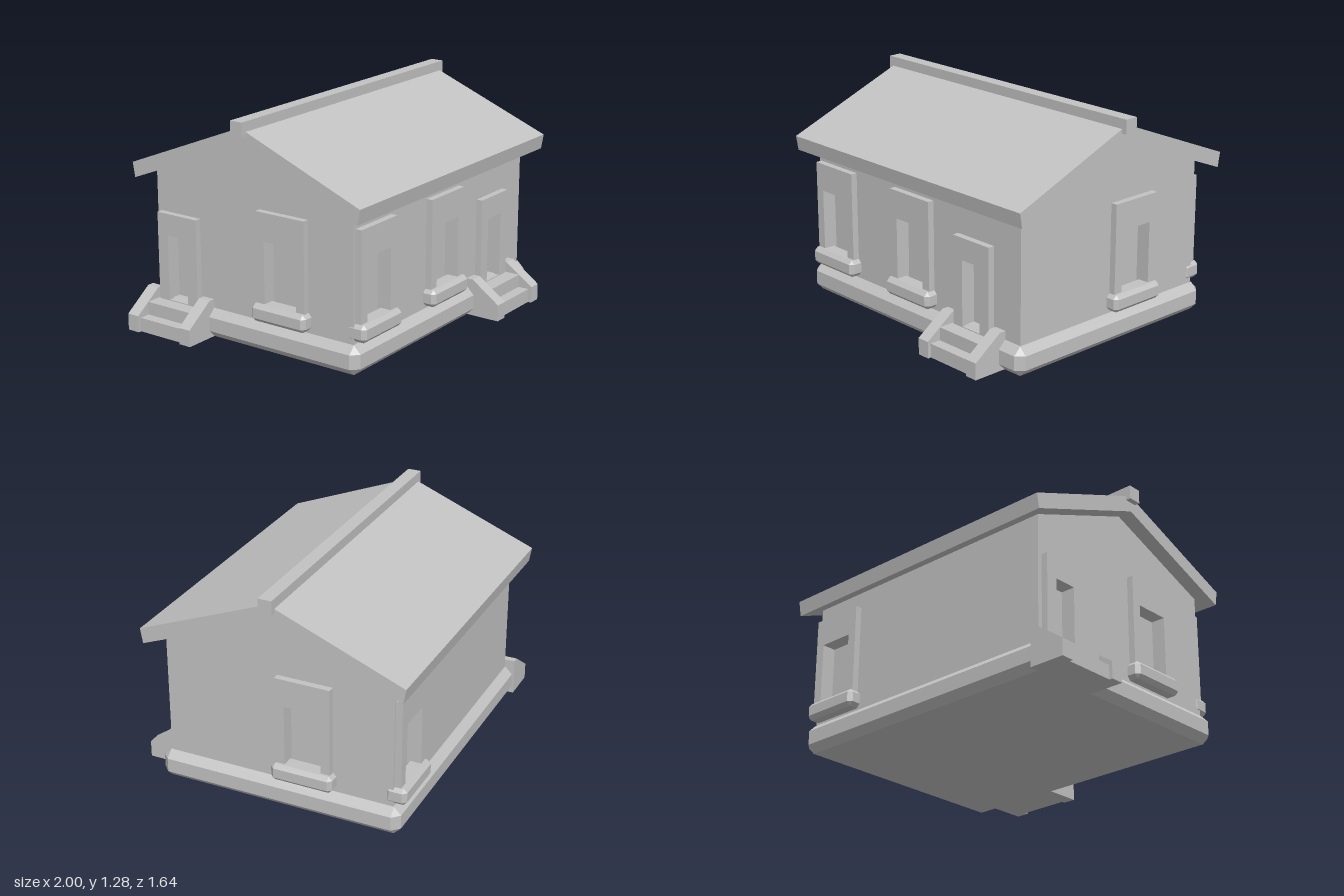
import * as THREE from 'three';
import { ConvexGeometry } from 'three/addons/geometries/ConvexGeometry.js';

const CX = 0.0425, CZ = -0.055;   // plan centre of the house
const HX = 0.8325, HZ = 0.665;    // half sizes of the walls
const T = 0.045;                  // wall thickness

const stone = new THREE.MeshStandardMaterial({ color: 0xc2c2c2 });
stone.name = 'plain grey';

function add(parent, name, geometry, x = 0, y = 0, z = 0) {
  const mesh = new THREE.Mesh(geometry, stone);
  mesh.name = name;
  mesh.position.set(x, y, z);
  parent.add(mesh);
  return mesh;
}

const polygon = (points) => new THREE.Shape(points.map(([x, y]) => new THREE.Vector2(x, y)));

const extrude = (shape, depth) => new THREE.ExtrudeGeometry(shape, { depth, bevelEnabled: false });

// Rectangular outline, also used for holes
const rect = (x0, x1, y0, y1) => polygon([[x0, y0], [x1, y0], [x1, y1], [x0, y1]]);

// Box with every edge cut at 45 degrees
function chamferBox(w, h, d, c) {
  const points = [];
  for (const sx of [-1, 1]) for (const sy of [-1, 1]) for (const sz of [-1, 1]) {
    for (const axis of [0, 1, 2]) {
      const half = [w / 2, h / 2, d / 2].map((v, i) => (i === axis ? v : v - c));
      points.push(new THREE.Vector3(sx * half[0], sy * half[1], sz * half[2]));
    }
  }
  return new ConvexGeometry(points);
}

// Opening sizes: half width and height range, for the hole and its surround
const KINDS = {
  window: { hw: 0.105, y0: 0.25, y1: 0.63, frame: 0.16, f0: 0.22, f1: 0.79 },
  door: { hw: 0.068, y0: 0.16, y1: 0.535, frame: 0.138, f0: 0.12, f1: 0.66 },
};

const hole = (kind, u) => rect(u - kind.hw, u + kind.hw, kind.y0, kind.y1);

// Raised surround with its sill or steps; wall face at z = 0
function opening(type, u) {
  const kind = KINDS[type];
  const group = new THREE.Group();
  group.name = type;
  group.position.x = u;
  const outline = rect(-kind.frame, kind.frame, kind.f0, kind.f1);
  outline.holes.push(hole(kind, 0));
  add(group, type + 'Frame', extrude(outline, 0.038));
  if (type === 'window') {
    add(group, 'windowSill', chamferBox(0.36, 0.1, 0.12, 0.022), 0, 0.23, 0.012);
  } else {
    // Steps between two sloping side walls
    add(group, 'lowerStep', new THREE.BoxGeometry(0.33, 0.08, 0.19), 0, 0.04, 0.095);
    add(group, 'upperStep', new THREE.BoxGeometry(0.33, 0.155, 0.125), 0, 0.0775, 0.0625);
    const cheek = extrude(polygon([[0, 0], [0.21, 0], [0.21, 0.095], [0.04, 0.215], [0, 0.215]]), 0.075);
    cheek.rotateY(-Math.PI / 2);
    add(group, 'stepSideWall', cheek, -0.15);
    add(group, 'stepSideWall', cheek, 0.225);
  }
  return group;
}

// Gable outline of the given half width
const gable = (half) => polygon([[-half, 0.1], [half, 0.1], [half, 1.17 - 0.393 * half], [0, 1.17], [-half, 1.17 - 0.393 * half]]);

// One wall panel with its openings
function side(name, angle, distance, outline, openings) {
  const group = new THREE.Group();
  group.name = name;
  group.rotation.y = angle;
  for (const [type, u] of openings) {
    outline.holes.push(hole(KINDS[type], u));
    const part = opening(type, u);
    part.position.z = distance;
    group.add(part);
  }
  add(group, name + 'Panel', extrude(outline, T), 0, 0, distance - T);
  return group;
}

export function createModel() {
  const model = new THREE.Group();
  model.name = 'house';
  const house = new THREE.Group();
  house.name = 'building';
  house.position.set(CX, 0, CZ);
  model.add(house);

  // Plinth
  add(house, 'plinth', chamferBox(1.755, 0.165, 1.425, 0.042), 0, 0.0825, 0);

  // Solid core closes the back of each opening
  const core = extrude(gable(HZ - T), 2 * (HX - T));
  core.translate(0, 0, -(HX - T)).rotateY(Math.PI / 2);
  add(house, 'core', core);

  // Walls
  const longWall = () => rect(-HX + T, HX - T, 0.1, 0.905);
  const q = Math.PI / 2;
  house.add(
    side('frontWall', 0, HZ, longWall(), [['window', -0.655], ['window', 0], ['door', 0.495]]),
    side('backWall', Math.PI, HZ, longWall(), [['window', -0.66]]),
    side('leftWall', q, HX, gable(HZ), [['window', 0.157]]),
    side('rightWall', -q, HX, gable(HZ), [['door', -0.5], ['window', 0.215]]),
  );

  // Roof slab and ridge beam
  const roof = extrude(polygon([
    [-0.75, 0.85], [0, 1.145], [0.75, 0.85], [0.765, 0.935], [0, 1.24], [-0.765, 0.935],
  ]), 1.845);
  roof.translate(0, 0, -0.9225).rotateY(q);
  add(house, 'roof', roof, 0.005);
  add(house, 'ridgeBeam', new THREE.BoxGeometry(1.905, 0.08, 0.078), 0.005, 1.24, 0);

  return model;
}
